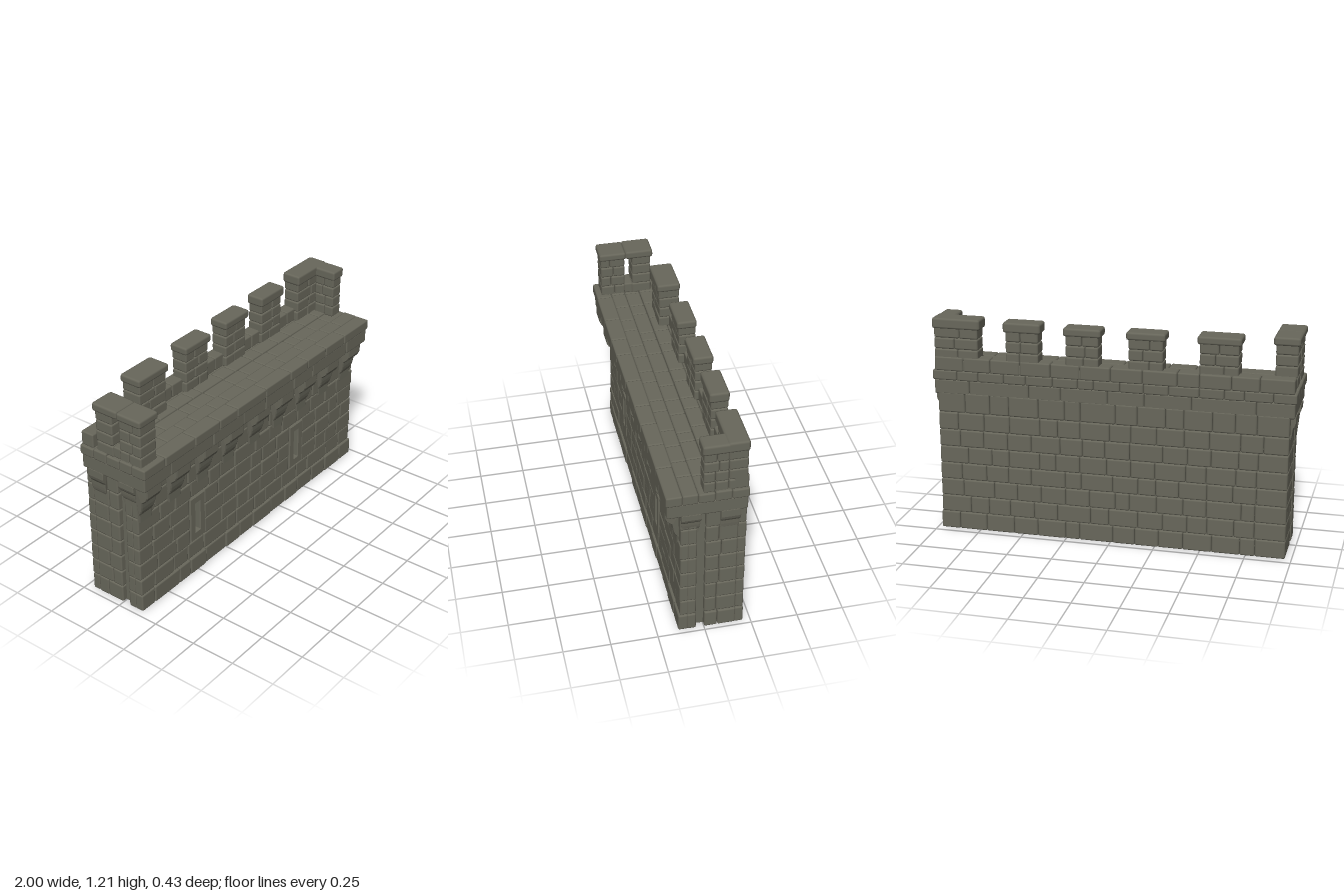
import * as THREE from 'three';
import { mergeGeometries } from 'three/addons/utils/BufferGeometryUtils.js';
import { RoundedBoxGeometry } from 'three/addons/geometries/RoundedBoxGeometry.js';

const stone = new THREE.MeshStandardMaterial({ color: 0x68675b });
stone.name = 'stone';

export function createModel() {
  const model = new THREE.Group();
  model.name = 'castleWall';

  // Small seeded generator for irregular masonry
  let seed = 7;
  const rand = () => (seed = (seed * 16807) % 2147483647) / 2147483647;
  const jitter = (a) => (rand() - 0.5) * 2 * a;

  const add = (name, geometries) => {
    const plain = geometries.map((g) => (g.index ? g.toNonIndexed() : g));
    const mesh = new THREE.Mesh(mergeGeometries(plain), stone);
    mesh.name = name;
    model.add(mesh);
  };

  // One worn block filling the given bounds
  const block = (x0, x1, y0, y1, z0, z1, r = 0.009) => {
    const w = x1 - x0, h = y1 - y0, d = z1 - z0;
    const g = new RoundedBoxGeometry(w, h, d, 1, Math.min(r, w / 3, h / 3, d / 3));
    return g.translate((x0 + x1) / 2, (y0 + y1) / 2, (z0 + z1) / 2);
  };

  // Splits a range into uneven stone lengths
  const split = (a, b, size) => {
    const n = Math.max(1, Math.round((b - a) / size));
    const cuts = [a];
    for (let i = 1; i < n; i++) cuts.push(a + ((b - a) * (i + jitter(0.25))) / n);
    return [...cuts, b];
  };

  // A row of blocks along x or z
  const courseX = (x0, x1, y0, y1, z0, z1, size, wobble = 0) => {
    const c = split(x0, x1, size);
    return c.slice(1).map((e, i) =>
      block(c[i], e - 0.001, y0, y1 - 0.001, z0 - Math.abs(jitter(wobble)), z1 + jitter(wobble)));
  };
  const courseZ = (x0, x1, y0, y1, z0, z1, size) => {
    const c = split(z0, z1, size);
    return c.slice(1).map((e, i) => block(x0, x1, y0, y1 - 0.001, c[i], e - 0.001));
  };

  const slits = [-0.495, 0.405];
  const slitHole = (x) => new THREE.Path([
    [x - 0.018, 0.255], [x - 0.018, 0.435], [x + 0.018, 0.435], [x + 0.018, 0.255],
  ].map(([a, b]) => new THREE.Vector2(a, b)));
  const rect = (x0, x1, y0, y1) => new THREE.Shape(
    [[x0, y0], [x1, y0], [x1, y1], [x0, y1]].map(([a, b]) => new THREE.Vector2(a, b)));

  // Wall core, hollowed behind the arrow slits
  const coreFront = rect(-0.935, 0.945, 0.002, 0.8);
  coreFront.holes = slits.map(slitHole);
  add('wallCore', [
    block(-0.935, 0.945, 0, 0.8, -0.195, 0.02, 0.002),
    new THREE.ExtrudeGeometry(coreFront, { depth: 0.1, bevelEnabled: false }).translate(0, 0, 0.016),
  ]);

  // Arrow slit surrounds
  add('arrowSlitFrames', slits.map((x) => {
    const s = rect(x - 0.062, x + 0.062, 0.203, 0.482);
    s.holes = [slitHole(x)];
    return new THREE.ExtrudeGeometry(s, {
      depth: 0.036, bevelThickness: 0.005, bevelSize: 0.005, bevelOffset: -0.005, bevelSegments: 1,
    }).translate(0, 0, 0.092);
  }));

  // Front, back and end masonry
  const rows = [0, 0.1, 0.197, 0.295, 0.39, 0.487, 0.585, 0.685, 0.8];
  const front = [], back = [], ends = [];
  for (let i = 0; i < rows.length - 1; i++) {
    const y0 = rows[i], y1 = rows[i + 1];
    const out = i === 0 ? 0.006 : 0;
    const x0 = -0.965, x1 = 0.972 + out;
    const stops = i >= 2 && i <= 4
      ? [[x0, -0.557], [-0.433, 0.343], [0.467, x1]] : [[x0, x1]];
    for (const [a, b] of stops) front.push(...courseX(a, b, y0, y1, 0.085, 0.13 + out, 0.135, 0.003));
    back.push(...courseX(x0, x1, y0, y1, -0.209, -0.165, 0.14, 0.002));
    for (const [a, b] of [[x0, -0.9], [0.9, x1]]) {
      ends.push(...courseZ(a, b, y0, y1, -0.168, 0, 0.1));
      ends.push(block(a, b, y0, y1, 0.042, 0.09));
    }
  }
  add('frontMasonry', front);
  add('backMasonry', back);
  add('endPilasters', ends);

  // Tapered corbel with a stepped, curved underside
  const corbel = (width, depth, height) => {
    const s = new THREE.Shape();
    s.moveTo(-0.03, 1);
    s.lineTo(-0.03, 0);
    s.lineTo(0.18, 0);
    s.lineTo(0.2, 0.22);
    s.quadraticCurveTo(0.45, 0.3, 0.52, 0.58);
    s.lineTo(0.85, 0.68);
    s.lineTo(1, 0.78);
    s.lineTo(1, 1);
    const g = new THREE.ExtrudeGeometry(s, {
      depth: 1, curveSegments: 4, bevelThickness: 0.08, bevelSize: 0.03, bevelOffset: -0.03, bevelSegments: 1,
    });
    g.rotateY(-Math.PI / 2).translate(0.5, 0, 0);
    const p = g.attributes.position;
    for (let i = 0; i < p.count; i++) {
      const y = p.getY(i);
      p.setXYZ(i, p.getX(i) * width * (0.7 + 0.18 * Math.min(1, y / 0.65)), y * height, p.getZ(i) * depth);
    }
    g.computeVertexNormals();
    return g;
  };
  add('frontCorbels', [-0.915, -0.685, -0.455, -0.235, 0, 0.22, 0.44, 0.66, 0.88].map((x) =>
    corbel(0.115, 0.078, 0.23).translate(x, 0.565, 0.122)));
  const endCorbels = [];
  for (const side of [-1, 1]) {
    for (const [z, y] of [[-0.122, 0.615], [0.078, 0.655]]) {
      endCorbels.push(corbel(0.1, 0.035, 0.795 - y).rotateY((side * Math.PI) / 2)
        .translate(side * 0.958, y, z));
    }
  }
  add('endCorbels', endCorbels);

  // Overhanging ledge
  add('ledgeBand', courseX(-0.99, 0.99, 0.788, 0.872, -0.207, 0.203, 0.24, 0.002));
  add('ledgeLip', courseX(-0.998, 0.998, 0.868, 0.928, 0.125, 0.212, 0.2, 0.003));

  // Walkway paving
  const paving = [];
  for (const [z0, z1] of [[-0.213, -0.125], [-0.125, -0.04], [-0.04, 0.045], [0.045, 0.126]]) {
    paving.push(...courseX(-0.998, 0.998, 0.868, 0.926 + jitter(0.003), z0, z1, 0.13));
  }
  add('walkwayPaving', paving);

  // Low parapet along the back
  add('parapet', courseX(-0.985, 0.985, 0.92, 1.0, -0.21, -0.132, 0.17, 0.001));

  // Merlon body built in courses, split along its longer side
  const body = (x0, x1, z0, z1, base = 0.92) => {
    const out = [], n = 4, h = (1.165 - base) / n;
    for (let i = 0; i < n; i++) {
      const y = base + i * h;
      out.push(...(x1 - x0 > z1 - z0
        ? courseX(x0, x1, y, y + h, z0, z1, 0.11, 0.002)
        : courseZ(x0, x1, y, y + h, z0, z1, 0.08)));
    }
    return out;
  };
  const cap = (x0, x1, z0, z1, top) => block(x0, x1, 1.153, top, z0, z1, 0.013);

  // Back merlons: left, right, back z, front z, top height
  for (const [x0, x1, z0, z1, top] of [
    [-0.7, -0.465, -0.195, -0.065, 1.198],
    [-0.298, -0.085, -0.2, -0.09, 1.198],
    [0.05, 0.258, -0.207, -0.097, 1.2],
    [0.382, 0.592, -0.208, -0.102, 1.21],
  ]) {
    add('merlon', [...body(x0 + 0.013, x1 - 0.013, z0 + 0.004, z1 - 0.012), cap(x0, x1, z0, z1, top)]);
  }

  // L-shaped corner merlon on the left end of the wall's own facing
  add('cornerMerlon', [
    ...body(0.735, 0.985, -0.203, -0.107),
    ...body(0.905, 0.985, -0.107, 0.02),
    cap(0.722, 0.994, -0.208, -0.095, 1.213),
    cap(0.895, 0.994, -0.12, 0.028, 1.209),
  ]);

  // Side merlon: two piers with an open slit under one cap
  add('sideMerlon', [
    ...body(-0.985, -0.865, -0.108, 0.0),
    ...body(-0.985, -0.865, 0.043, 0.182),
    block(-0.98, -0.87, 0.92, 0.982, -0.005, 0.048),
    cap(-0.996, -0.853, -0.12, 0.04, 1.2),
    cap(-0.996, -0.853, 0.035, 0.19, 1.197),
  ]);

  return model;
}
